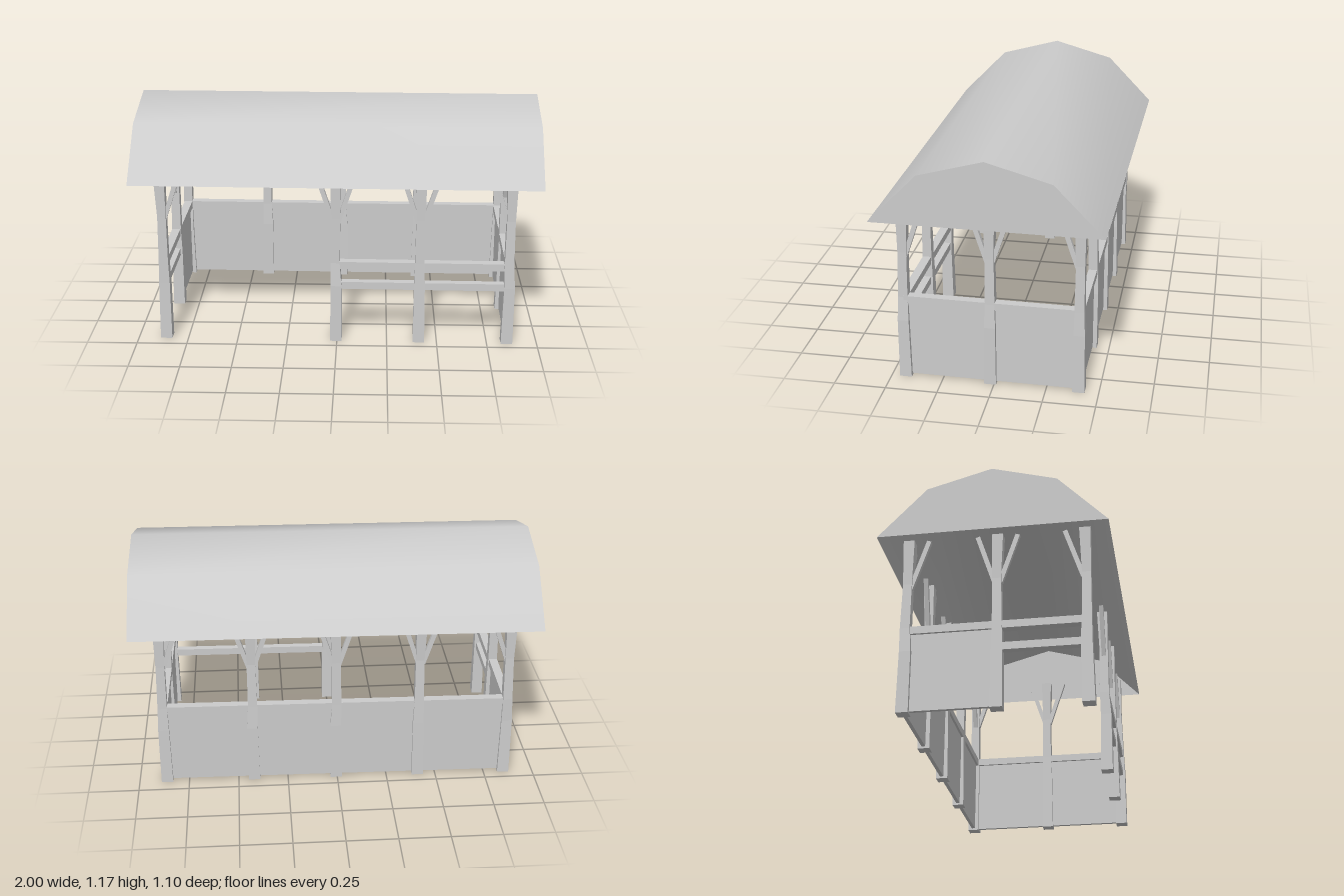
import * as THREE from 'three';

const flat = new THREE.MeshStandardMaterial({ color: 0xcccccc, flatShading: true });
const thin = new THREE.MeshStandardMaterial({ color: 0xcccccc, side: THREE.DoubleSide });

const X = [-0.855, -0.415, 0, 0.415, 0.855];
const Z = [-0.415, 0.008, 0.42];
const ROOF = [[0.54, 0.845], [0.307, 1.085], [0, 1.17], [-0.307, 1.085], [-0.54, 0.845]];
const HALF = 0.9935;

// Small seeded generator for the crooked timber
let seed = 7;
function jitter(amount) {
  seed = (seed * 16807) % 2147483647;
  return (seed / 2147483647 - 0.5) * 2 * amount;
}

function add(parent, name, geometry, material = flat) {
  const mesh = new THREE.Mesh(geometry, material);
  mesh.name = name;
  parent.add(mesh);
  return mesh;
}

// Square post, waisted in the middle and slightly crooked
function post(parent, x, z) {
  const levels = [[0, 0.058], [0.3, 0.053], [0.42, 0.046], [0.65, 0.042], [0.88, 0.053]];
  const rows = levels.map(([y, w], i) =>
    ({ y, w, dx: i ? jitter(0.004) : 0, dz: i ? jitter(0.004) : 0 }));
  const geo = new THREE.BoxGeometry(1, 4, 1, 1, 4, 1);
  const p = geo.attributes.position;
  for (let i = 0; i < p.count; i++) {
    const r = rows[Math.round(p.getY(i) + 2)];
    p.setXYZ(i, p.getX(i) * r.w + r.dx, r.y, p.getZ(i) * r.w + r.dz);
  }
  geo.computeVertexNormals();
  add(parent, 'post', geo).position.set(x, 0, z);
}

// Diagonal brace leaning away from a post in direction (dx, dz)
function brace(parent, x, z, dx, dz) {
  const a = new THREE.Vector3(x + dx * 0.012, 0.63, z + dz * 0.012);
  const b = new THREE.Vector3(x + dx * 0.095, 0.88, z + dz * 0.095);
  const mesh = add(parent, 'brace', new THREE.BoxGeometry(0.022, a.distanceTo(b), 0.022));
  mesh.position.copy(a).lerp(b, 0.5);
  mesh.quaternion.setFromUnitVectors(new THREE.Vector3(0, 1, 0), b.sub(a).normalize());
}

// Horizontal bar or panel running between two post centres
function span(parent, name, [x0, z0], [x1, z1], y0, y1, depth) {
  const alongX = Math.abs(x1 - x0) > Math.abs(z1 - z0);
  const length = Math.hypot(x1 - x0, z1 - z0);
  const geo = new THREE.BoxGeometry(alongX ? length : depth, y1 - y0, alongX ? depth : length);
  add(parent, name, geo).position.set((x0 + x1) / 2, (y0 + y1) / 2, (z0 + z1) / 2);
}

function wallBay(parent, a, b) {
  span(parent, 'wallPanel', a, b, 0.01, 0.4, 0.018);
  span(parent, 'topRail', a, b, 0.39, 0.427, 0.042);
}

function railBay(parent, a, b) {
  span(parent, 'topRail', a, b, 0.39, 0.427, 0.042);
  span(parent, 'lowerRail', a, b, 0.282, 0.319, 0.036);
}

// Smooth roof skin with flat closed gables, open underneath
function roof(parent) {
  const positions = [], index = [];
  ROOF.forEach(([z, y], i) => {
    positions.push(-HALF, y, z, HALF, y, z);
    if (i) {
      const k = i * 2;
      index.push(k - 2, k - 1, k + 1, k - 2, k + 1, k);
    }
  });
  const skin = new THREE.BufferGeometry();
  skin.setAttribute('position', new THREE.Float32BufferAttribute(positions, 3));
  skin.setIndex(index);
  skin.computeVertexNormals();
  add(parent, 'roofSkin', skin, thin);

  const outline = new THREE.Shape(ROOF.map(([z, y]) => new THREE.Vector2(z, y)));
  for (const side of [-1, 1]) {
    const gable = add(parent, 'gable', new THREE.ShapeGeometry(outline), thin);
    gable.rotation.y = side * Math.PI / 2;
    gable.position.x = side * HALF;
  }
}

export function createModel() {
  const model = new THREE.Group();
  model.name = 'shelter';
  const part = name => {
    const g = new THREE.Group();
    g.name = name;
    model.add(g);
    return g;
  };
  const posts = part('posts'), braces = part('braces'), walls = part('walls'), rails = part('rails');
  const [back, mid, front] = Z;

  // Posts around the edge; the front leaves out one for the entrance
  X.forEach((x, i) => Z.forEach((z, j) => {
    const isEnd = i === 0 || i === 4;
    if ((j === 1 && !isEnd) || (j === 2 && i === 1)) return;
    post(posts, x, z);
    if (j !== 1) {
      if (i > 0) brace(braces, x, z, -1, 0);
      if (i < 4) brace(braces, x, z, 1, 0);
    }
    if (isEnd) {
      if (j > 0) brace(braces, x, z, 0, -1);
      if (j < 2) brace(braces, x, z, 0, 1);
    }
  }));

  // Boarded back, left end and rear half of the right end
  for (let i = 0; i < 4; i++) wallBay(walls, [X[i], back], [X[i + 1], back]);
  wallBay(walls, [X[4], back], [X[4], mid]);
  wallBay(walls, [X[4], mid], [X[4], front]);
  wallBay(walls, [X[0], back], [X[0], mid]);

  // Open double rails
  railBay(rails, [X[0], mid], [X[0], front]);
  railBay(rails, [X[2], front], [X[3], front]);
  railBay(rails, [X[3], front], [X[4], front]);

  roof(part('roof'));

  // The whole shelter stands very slightly turned
  model.rotation.y = -0.0125;
  return model;
}
